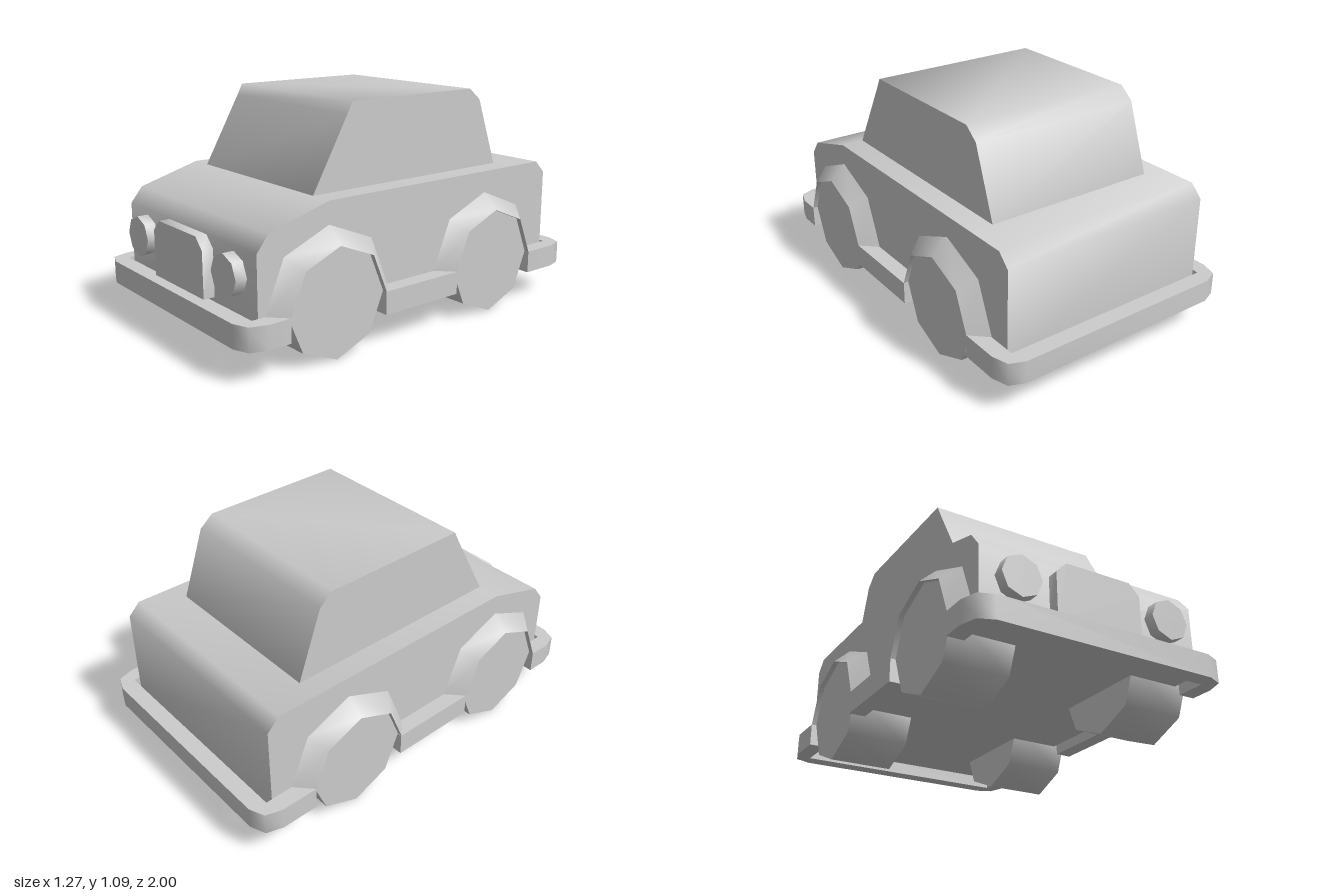
import * as THREE from 'three';
import { toCreasedNormals } from 'three/addons/utils/BufferGeometryUtils.js';

const grey = new THREE.MeshStandardMaterial({ color: 0xcccccc });
grey.name = 'grey';

const HALF_BODY = 0.555, AXLE_Y = 0.26, WHEEL_R = 0.26;
const AXLES = { front: 0.52, rear: -0.445 };

function add(parent, name, geometry, crease = 1.15) {
  const mesh = new THREE.Mesh(toCreasedNormals(geometry, crease), grey);
  mesh.name = name;
  parent.add(mesh);
  return mesh;
}

function extrude(points, depth) {
  const shape = new THREE.Shape(points.map(([x, y]) => new THREE.Vector2(x, y)));
  return new THREE.ExtrudeGeometry(shape, { depth, bevelEnabled: false });
}

// Side profile in (z, y), swept across the width
function sideProfile(points, halfWidth) {
  return extrude(points, halfWidth * 2).translate(0, 0, -halfWidth).rotateY(-Math.PI / 2);
}

// Plan outline in (x, z), swept from y = 0.26 down to 0.15
function plan(points) {
  return extrude(points, 0.11).rotateX(Math.PI / 2).translate(0, AXLE_Y, 0);
}

// U-shaped bumper with chamfered corners, ending at the wheel
function bumper(sign, zEnd) {
  const half = [
    [0.555, zEnd], [0.635, zEnd], [0.635, 0.89], [0.61, 0.97], [0.535, 1],
  ];
  const mirrored = half.map(([x, z]) => [-x, z]).reverse();
  const inner = [[-0.555, 0.92], [0.555, 0.92]];
  return plan([...half, ...mirrored, ...inner].map(([x, z]) => [x, z * sign]));
}

export function createModel() {
  const car = new THREE.Group();
  car.name = 'car';

  // Body and cabin
  add(car, 'body', sideProfile([
    [0.89, 0.2], [0.89, 0.535], [0.83, 0.61], [0.52, 0.7],
    [-0.83, 0.7], [-0.89, 0.64], [-0.89, 0.2],
  ], HALF_BODY));
  add(car, 'cabin', sideProfile([
    [0.52, 0.69], [0.52, 0.7], [0.33, 1.035], [0.3, 1.092],
    [-0.44, 1.092], [-0.51, 1.035], [-0.63, 0.7], [-0.63, 0.69],
  ], 0.443));

  // Bumpers
  add(car, 'frontBumper', bumper(1, 0.78));
  add(car, 'rearBumper', bumper(-1, 0.705));

  // Grille
  add(car, 'grille', extrude([
    [-0.217, 0.26], [0.217, 0.26], [0.217, 0.48], [0.165, 0.533],
    [-0.165, 0.533], [-0.217, 0.48],
  ], 0.065).translate(0, 0, 0.88));

  for (const side of [1, -1]) {
    const label = side > 0 ? 'left' : 'right';

    // Headlight
    add(car, label + 'Headlight', new THREE.CylinderGeometry(0.098, 0.098, 0.065, 8)
      .rotateX(Math.PI / 2).translate(side * 0.383, 0.412, 0.9125));

    // Running board between the wheels
    add(car, label + 'RunningBoard', plan([
      [side * 0.555, -0.187], [side * 0.635, -0.187], [side * 0.635, 0.26], [side * 0.555, 0.26],
    ]));

    for (const [end, z] of Object.entries(AXLES)) {
      // Wheel
      add(car, `${label} ${end} wheel`, new THREE.CylinderGeometry(WHEEL_R, WHEEL_R, 0.31, 8)
        .rotateZ(Math.PI / 2).translate(side * 0.455, AXLE_Y, z));

      // Fender: half ring that tapers outwards to a thin rim
      const section = [[0.335, 0], [WHEEL_R, 0.08], [WHEEL_R, 0]].map(([r, h]) => new THREE.Vector2(r, h));
      const fender = add(car, `${label} ${end} fender`,
        new THREE.LatheGeometry(section, 4, Math.PI, Math.PI).rotateZ(-Math.PI / 2));
      fender.position.set(side * HALF_BODY, AXLE_Y, z);
      fender.rotation.y = side > 0 ? 0 : Math.PI;
    }
  }
  return car;
}
